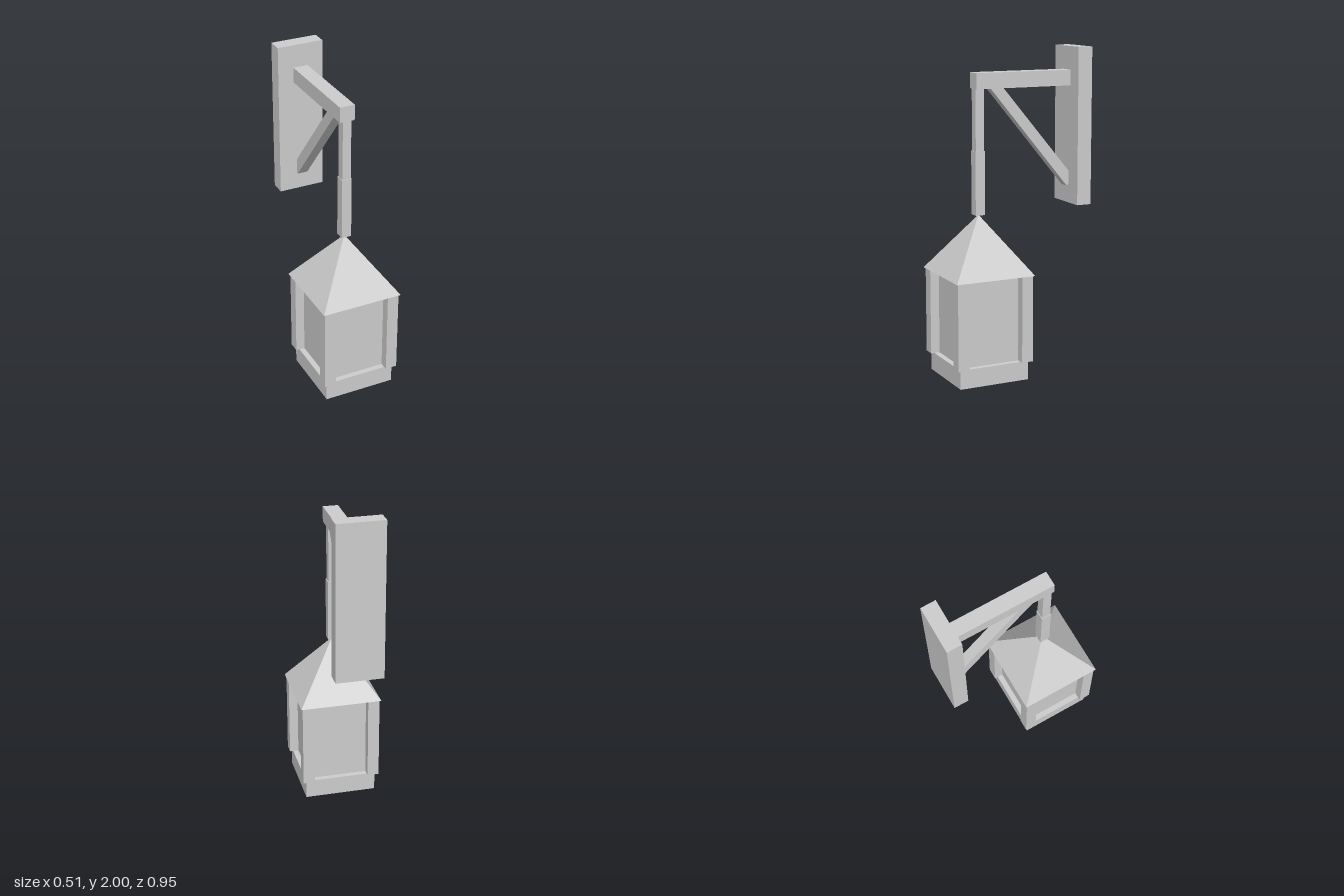
import * as THREE from 'three';

export function createModel() {
  const model = new THREE.Group();
  model.name = 'wallLantern';
  const grey = new THREE.MeshStandardMaterial({ color: 0xcccccc });
  grey.name = 'light grey';

  const add = (name, geometry, parent = model) => {
    const mesh = new THREE.Mesh(geometry, grey);
    mesh.name = name;
    parent.add(mesh);
    return mesh;
  };
  // Box given by its half width in x and its y and z ranges
  const box = (name, hx, y0, y1, z0, z1, parent) => {
    const mesh = add(name, new THREE.BoxGeometry(hx * 2, y1 - y0, z1 - z0), parent);
    mesh.position.set(0, (y0 + y1) / 2, (z0 + z1) / 2);
    return mesh;
  };

  // Wall bracket
  box('wallPlate', 0.146, 1.035, 2, -0.475, -0.381);
  box('arm', 0.047, 1.762, 1.857, -0.381, 0.248);

  // Diagonal brace: side outline drawn in (z, y), extruded across x
  const outline = new THREE.Shape([
    [0.15, 1.762], [0.065, 1.762], [-0.381, 1.235], [-0.381, 1.152], [-0.368, 1.142],
  ].map(([z, y]) => new THREE.Vector2(-z, y)));
  const brace = new THREE.ExtrudeGeometry(outline, { depth: 0.066, bevelEnabled: false });
  brace.translate(0, 0, -0.033);
  brace.rotateY(Math.PI / 2);
  add('brace', brace);

  // Hanging rod, slightly thicker below
  box('upperRod', 0.027, 1.39, 1.762, 0.192, 0.246);
  box('lowerRod', 0.031, 1.003, 1.39, 0.188, 0.25);

  // Lantern
  const lantern = new THREE.Group();
  lantern.name = 'lantern';
  lantern.position.z = 0.219;
  model.add(lantern);

  box('base', 0.225, 0, 0.117, -0.225, 0.225, lantern);
  box('panes', 0.19, 0.117, 0.65, -0.19, 0.19, lantern);
  for (const sx of [-1, 1]) {
    for (const sz of [-1, 1]) {
      const post = add('cornerPost', new THREE.BoxGeometry(0.073, 0.533, 0.073), lantern);
      post.position.set(sx * 0.21, 0.3835, sz * 0.21);
    }
  }

  // Pyramid roof
  const roof = new THREE.ConeGeometry(0.256 * Math.SQRT2, 0.353, 4).toNonIndexed();
  roof.rotateY(Math.PI / 4);
  roof.computeVertexNormals();
  add('roof', roof, lantern).position.y = 0.65 + 0.353 / 2;

  return model;
}
